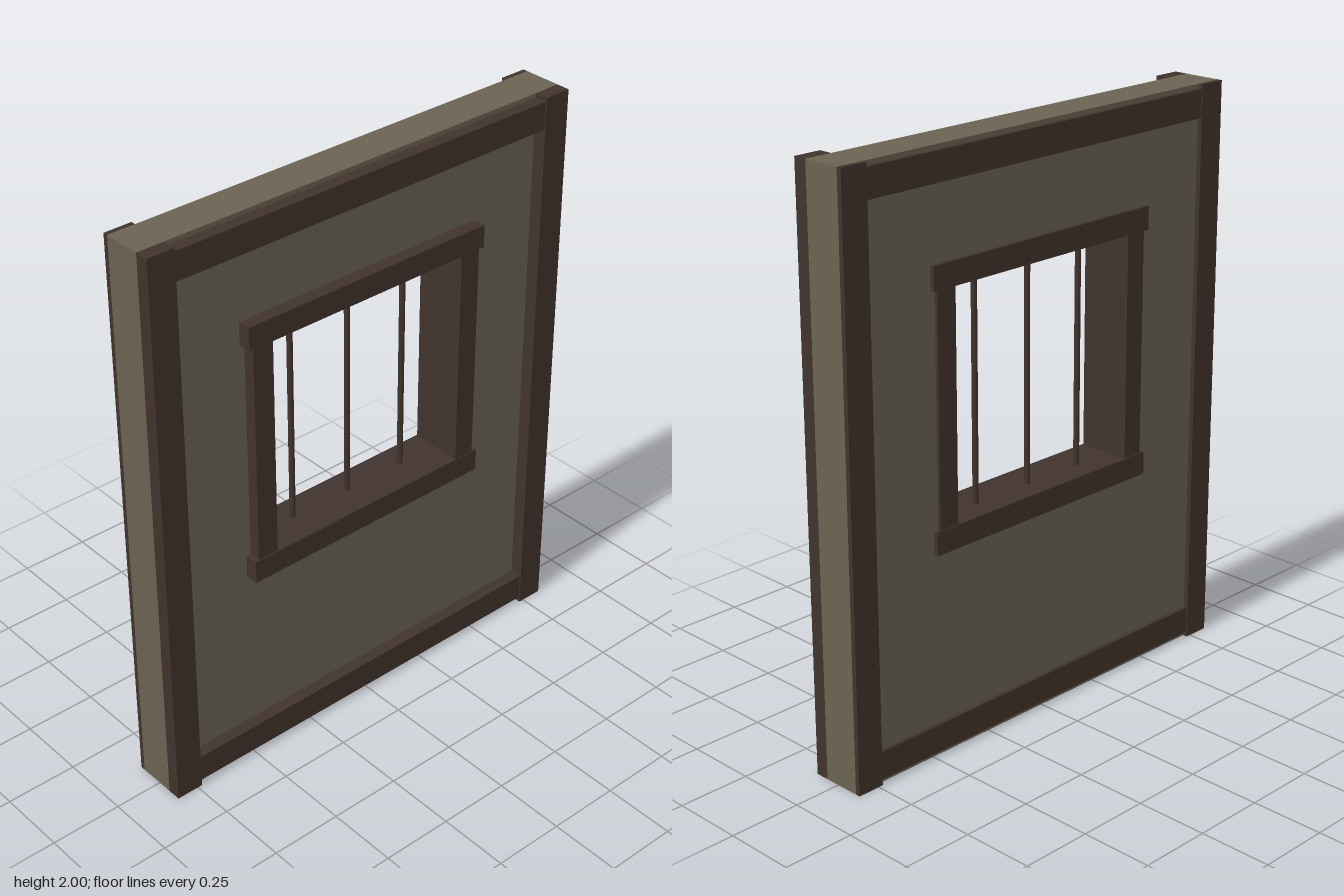
import * as THREE from 'three';

export function createModel() {
  const model = new THREE.Group();
  model.name = 'barredWindowWall';

  const plaster = new THREE.MeshStandardMaterial({ color: 0x6b6352 });
  plaster.name = 'plaster';
  const timber = new THREE.MeshStandardMaterial({ color: 0x42332c });
  timber.name = 'darkTimber';

  // Box given by its minimum and maximum on each axis
  function box(name, [x0, x1], [y0, y1], [z0, z1]) {
    const mesh = new THREE.Mesh(new THREE.BoxGeometry(x1 - x0, y1 - y0, z1 - z0), timber);
    mesh.position.set((x0 + x1) / 2, (y0 + y1) / 2, (z0 + z1) / 2);
    mesh.name = name;
    model.add(mesh);
  }

  // Wall panel with the window opening cut through
  const wallBack = -0.083, wallFront = 0.052;
  const outline = new THREE.Shape([[-0.83, 0], [0.83, 0], [0.83, 2], [-0.83, 2]].map(p => new THREE.Vector2(...p)));
  outline.holes.push(new THREE.Path([[-0.42, 0.745], [-0.42, 1.6], [0.42, 1.6], [0.42, 0.745]].map(p => new THREE.Vector2(...p))));
  const wall = new THREE.Mesh(
    new THREE.ExtrudeGeometry(outline, { depth: wallFront - wallBack, bevelEnabled: false }), plaster);
  wall.position.z = wallBack;
  wall.name = 'wallPanel';
  model.add(wall);

  // Timber border on both faces: posts stand slightly proud of the rails
  const faces = [
    ['front', [wallFront, 0.1], [wallFront, 0.095]],
    ['back', [-0.1, wallBack], [-0.097, wallBack]],
  ];
  for (const [face, postZ, railZ] of faces) {
    box(face + 'RightPost', [-0.83, -0.733], [0, 2], postZ);
    box(face + 'LeftPost', [0.733, 0.83], [0, 2], postZ);
    box(face + 'TopRail', [-0.733, 0.733], [1.888, 1.985], railZ);
    box(face + 'BottomRail', [-0.733, 0.733], [0.018, 0.115], railZ);
  }

  // Window frame running through the wall
  box('windowHead', [-0.48, 0.48], [1.56, 1.64], [-0.098, 0.098]);
  box('windowSill', [-0.48, 0.48], [0.703, 0.783], [-0.098, 0.098]);
  box('windowRightJamb', [-0.463, -0.387], [0.783, 1.56], [-0.094, 0.094]);
  box('windowLeftJamb', [0.387, 0.463], [0.783, 1.56], [-0.094, 0.094]);

  // Upright bars
  for (const x of [-0.234, 0, 0.234]) {
    const bar = new THREE.Mesh(new THREE.CylinderGeometry(0.01, 0.01, 0.78, 8), timber);
    bar.position.set(x, 1.1715, -0.015);
    bar.name = 'windowBar';
    model.add(bar);
  }

  return model;
}
